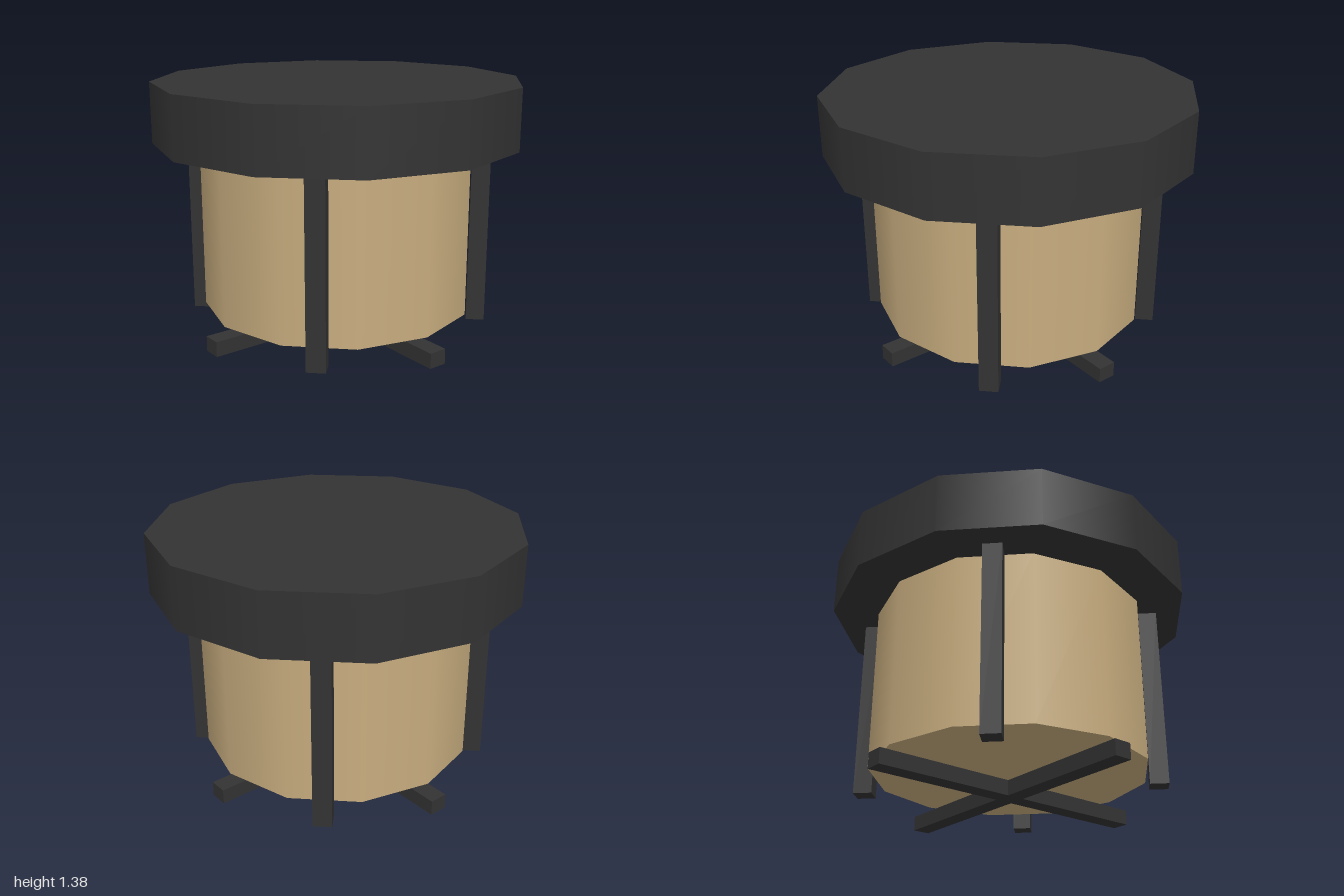
import * as THREE from 'three';

export function createModel() {
  const model = new THREE.Group();
  const dark = new THREE.MeshStandardMaterial({ color: 0x333333 });
  dark.name = 'charcoal';
  const tan = new THREE.MeshStandardMaterial({ color: 0xc8ad7f });
  tan.name = 'tan';

  const add = (name, geometry, material, x, y, z, turn = 0) => {
    const mesh = new THREE.Mesh(geometry, material);
    mesh.name = name;
    mesh.position.set(x, y, z);
    mesh.rotation.y = turn;
    model.add(mesh);
  };

  // Twelve-sided drum and seat, corners on the axes
  add('drum', new THREE.CylinderGeometry(0.75, 0.75, 0.92, 12), tan, 0, 0.59, 0);
  add('seat', new THREE.CylinderGeometry(1, 1, 0.33, 12), dark, 0, 1.215, 0);

  // Four square legs on the diagonals, turned to face outwards
  const leg = new THREE.BoxGeometry(0.1, 1.02, 0.1);
  for (const x of [-1, 1]) {
    for (const z of [-1, 1]) {
      add('leg', leg, dark, x * 0.555, 0.555, z * 0.555, Math.PI / 4);
    }
  }

  // Crossed floor bars: one full bar and two halves meeting it
  add('crossBar', new THREE.BoxGeometry(1.664, 0.083, 0.1), dark, 0, 0.0415, 0);
  const half = new THREE.BoxGeometry(0.1, 0.083, 0.782);
  for (const z of [-1, 1]) add('crossBarHalf', half, dark, 0, 0.0415, z * 0.441);

  return model;
}
